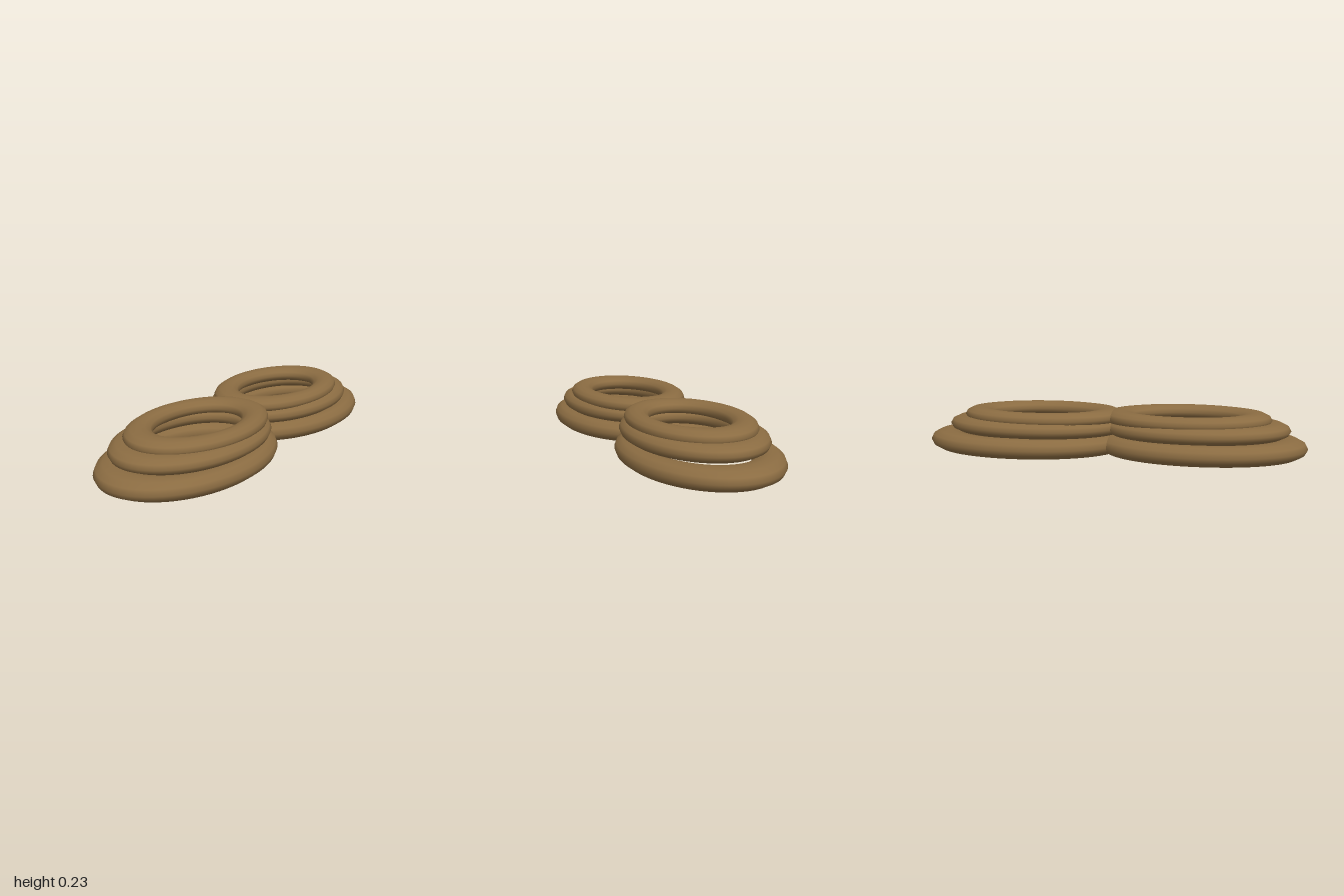
import * as THREE from 'three';

const STRETCH = 1.466; // rings are longer along z than x

// Elliptical ring lying flat, with a flattened tube
function ring(name, material, [R, r, h], x, y, z) {
  const geometry = new THREE.TorusGeometry(R, r, 12, 64);
  geometry.rotateX(Math.PI / 2);
  geometry.scale(1, h / r, STRETCH);
  const mesh = new THREE.Mesh(geometry, material);
  mesh.name = name;
  mesh.position.set(x, y, z);
  return mesh;
}

export function createModel() {
  const group = new THREE.Group();
  group.name = 'coiledRingStacks';
  const brown = new THREE.MeshStandardMaterial({ color: 0x8b6c42 });
  brown.name = 'brown';

  // Each layer: [ring radius, tube radius, half height], centre height, front z, back z
  const layers = [
    { name: 'bottomRing', size: [0.298, 0.07, 0.0525], y: 0.0525, front: 0.458, back: -0.46 },
    { name: 'middleRing', size: [0.266, 0.062, 0.042], y: 0.14, front: 0.432, back: -0.405 },
    { name: 'topRing', size: [0.2365, 0.0575, 0.039], y: 0.19, front: 0.388, back: -0.371 },
  ];

  // Two stacks touching at the middle
  for (const side of ['front', 'back']) {
    const stack = new THREE.Group();
    stack.name = side + 'Stack';
    const x = side === 'front' ? 0.01 : -0.013;
    for (const l of layers) stack.add(ring(l.name, brown, l.size, x, l.y, l[side]));
    group.add(stack);
  }
  return group;
}
